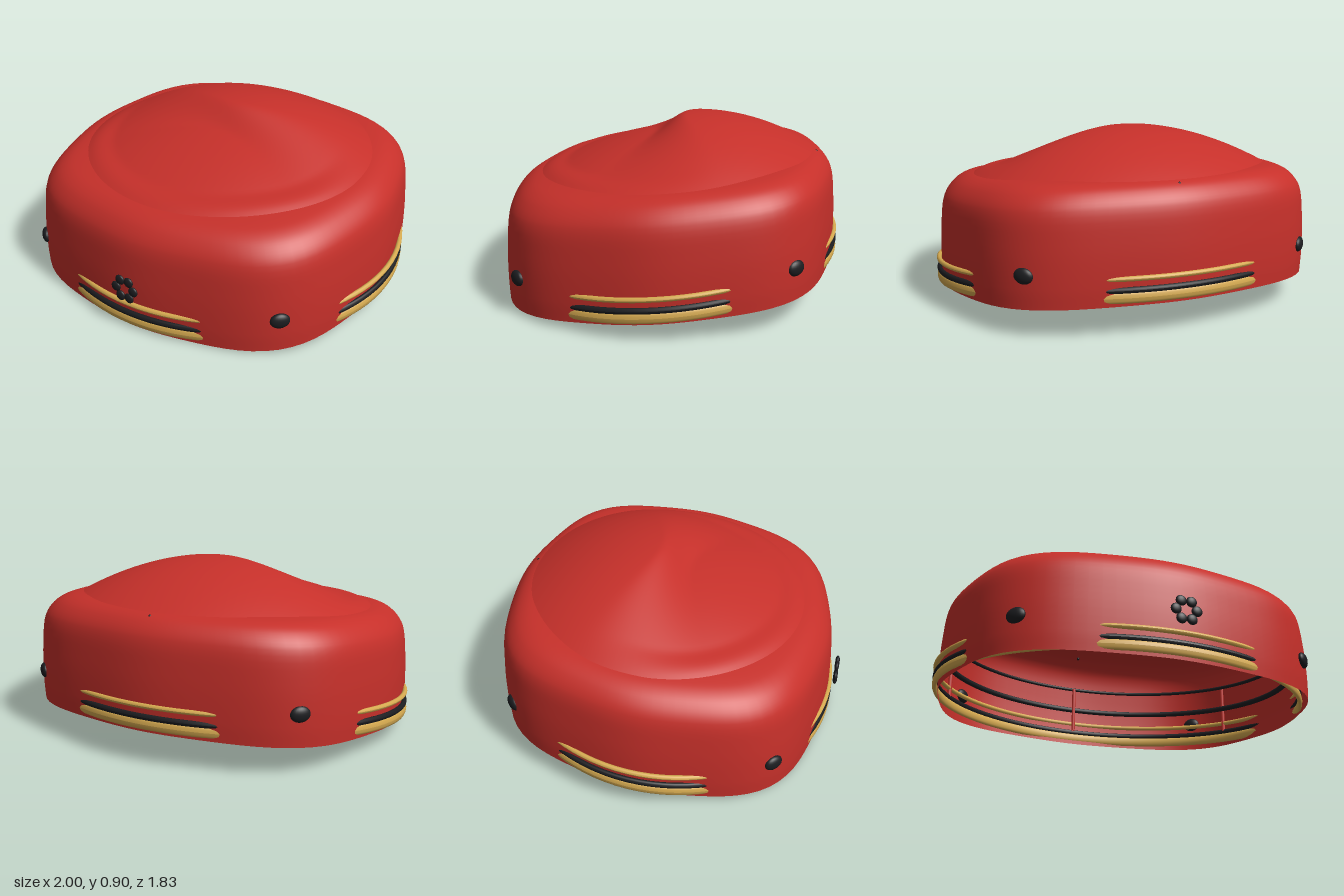
import * as THREE from 'three';

const RED = new THREE.MeshStandardMaterial({ color: 0xc6302a, side: THREE.DoubleSide });
const BLACK = new THREE.MeshStandardMaterial({ color: 0x1c1d20 });
const GOLD = new THREE.MeshStandardMaterial({ color: 0xd6aa50 });
const ZC = -0.015; // centre of the cap in z

// the whole cap leans: the rim is low in front and high at the back
const lean = (x, y, z) => new THREE.Vector3(x, y + 0.086 - 0.093 * z, z);
const { smoothstep } = THREE.MathUtils;

// surface from closed loops: f(row, angle) gives a point
function loops(rows, sides, f) {
  const pos = [], idx = [];
  for (let i = 0; i < rows; i++) {
    for (let j = 0; j < sides; j++) pos.push(...f(i, (j / sides) * Math.PI * 2).toArray());
  }
  for (let i = 0; i < rows - 1; i++) {
    for (let j = 0; j < sides; j++) {
      const a = i * sides + j, b = i * sides + (j + 1) % sides;
      idx.push(a, a + sides, b, b, a + sides, b + sides);
    }
  }
  const g = new THREE.BufferGeometry();
  g.setAttribute('position', new THREE.Float32BufferAttribute(pos, 3));
  g.setIndex(idx);
  g.computeVertexNormals();
  return g;
}

// plan outline of the shell: an ellipse swelling at its four corners
function outline(a, scale, y) {
  const k = scale * (1 + 0.083 * Math.pow(Math.sin(2 * a), 4));
  return lean(0.97 * k * Math.cos(a), y, ZC + 0.882 * k * Math.sin(a));
}

// height of the crown: a dome that slumps in front of a central ridge
function crownHeight(x, z, n, edge) {
  const w = Math.hypot(0.09, 0.5 * x);
  const slump = 0.085 * (1 - 0.8 * n * n) * smoothstep(z, -w, w);
  return edge + (0.81 - edge) * (1 - Math.pow(n, 1.95)) - slump * smoothstep(1 - n, 0, 0.2);
}

export function createModel() {
  const cap = new THREE.Group();
  cap.name = 'cap';
  const add = (name, geometry, material) => {
    const m = new THREE.Mesh(geometry, material);
    m.name = name;
    cap.add(m);
    return m;
  };

  // side wall, rounded shoulder and inner ceiling: [height, scale]
  const profile = new THREE.CatmullRomCurve3([
    [0, 0.995], [0.1, 1], [0.3, 0.995], [0.46, 0.972], [0.53, 0.92], [0.565, 0.86],
    [0.582, 0.78], [0.6, 0.55], [0.615, 0.28], [0.62, 0.001],
  ].map(([y, s]) => new THREE.Vector3(s, y, 0))).getPoints(45);
  add('shell', loops(profile.length, 96, (i, a) => outline(a, profile[i].x, profile[i].y)), RED);

  // crown panel, its edge resting on the shoulder
  const rings = 40;
  add('crown', loops(rings + 1, 96, (i, a) => {
    const n = Math.max(0.001, 1 - i / rings);
    const x = 0.79 * n * Math.cos(a), z = -0.04 + 0.73 * n * Math.sin(a);
    const edge = 0.576 + 0.008 * Math.sin(a) + 0.009 * Math.sin(2 * a) ** 2;
    return lean(x, crownHeight(x, z, n, edge), z);
  }), RED);

  // elliptical hoops, hidden by the corners of the shell
  const hoop = (name, rx, rz, y, t, h, material) =>
    add(name, loops(13, 96, (i, a) => {
      const p = (i / 12) * Math.PI * 2, d = t * Math.cos(p);
      return lean((rx + d) * Math.cos(a), y + h * Math.sin(p), ZC + (rz + d) * Math.sin(a));
    }), material);
  hoop('lowerGoldBand', 0.985, 0.888, 0.042, 0.013, 0.028, GOLD);
  hoop('blackBand', 0.985, 0.888, 0.078, 0.013, 0.016, BLACK);
  hoop('upperGoldBand', 0.986, 0.888, 0.133, 0.013, 0.013, GOLD);
  hoop('lowerInnerHoop', 0.95, 0.862, 0.22, 0.014, 0.016, BLACK);
  hoop('upperInnerHoop', 0.95, 0.862, 0.36, 0.01, 0.01, BLACK);

  // balls, stretched along their own axes
  const ball = (name, p, r, sx = 1, sy = 1, sz = 1) => {
    const m = add(name, new THREE.SphereGeometry(r, 20, 14), BLACK);
    m.position.copy(p);
    m.scale.set(sx, sy, sz);
    return m;
  };

  // flat rivets facing out of the four corners
  for (const s of [1, -1]) {
    ball('frontRivet', new THREE.Vector3(s * 0.742, 0.2, 0.664), 0.04, 1.25, 1, 0.6)
      .rotation.y = s * Math.PI / 4;
    ball('backRivet', new THREE.Vector3(s * 0.738, 0.315, -0.69), 0.04, 1.25, 1, 0.6)
      .rotation.y = -s * Math.PI / 4;
  }

  // six-petal rosette on the front
  for (let k = 0; k < 6; k++) {
    const a = (k * Math.PI) / 3;
    ball('rosettePetal', new THREE.Vector3(0.052 * Math.cos(a), 0.242 + 0.052 * Math.sin(a), 0.902),
      0.027, 1, 1, 0.45);
  }

  // tiny pins at the front and back of the shoulder
  ball('frontPin', new THREE.Vector3(0, 0.555, 0.764), 0.009);
  ball('backPin', new THREE.Vector3(0, 0.71, -0.79), 0.009);

  // inside: central button, six ceiling ribs and six wall seams
  ball('innerButton', lean(0, 0.59, 0), 0.065, 1, 0.7, 1);
  for (let k = 0; k < 6; k++) {
    const a = ((k + 0.5) * Math.PI) / 3, c = Math.cos(a), s = Math.sin(a);
    const rib = new THREE.CatmullRomCurve3([[0, 0.605], [0.35, 0.594], [0.6, 0.59]]
      .map(([r, y]) => lean(r * c, y, r * s)));
    add('ceilingRib', new THREE.TubeGeometry(rib, 12, 0.01, 8), RED);
    const seam = new THREE.LineCurve3(outline(a, 0.965, 0.08), outline(a, 0.965, 0.36));
    add('wallSeam', new THREE.TubeGeometry(seam, 4, 0.011, 8), RED);
  }
  return cap;
}
